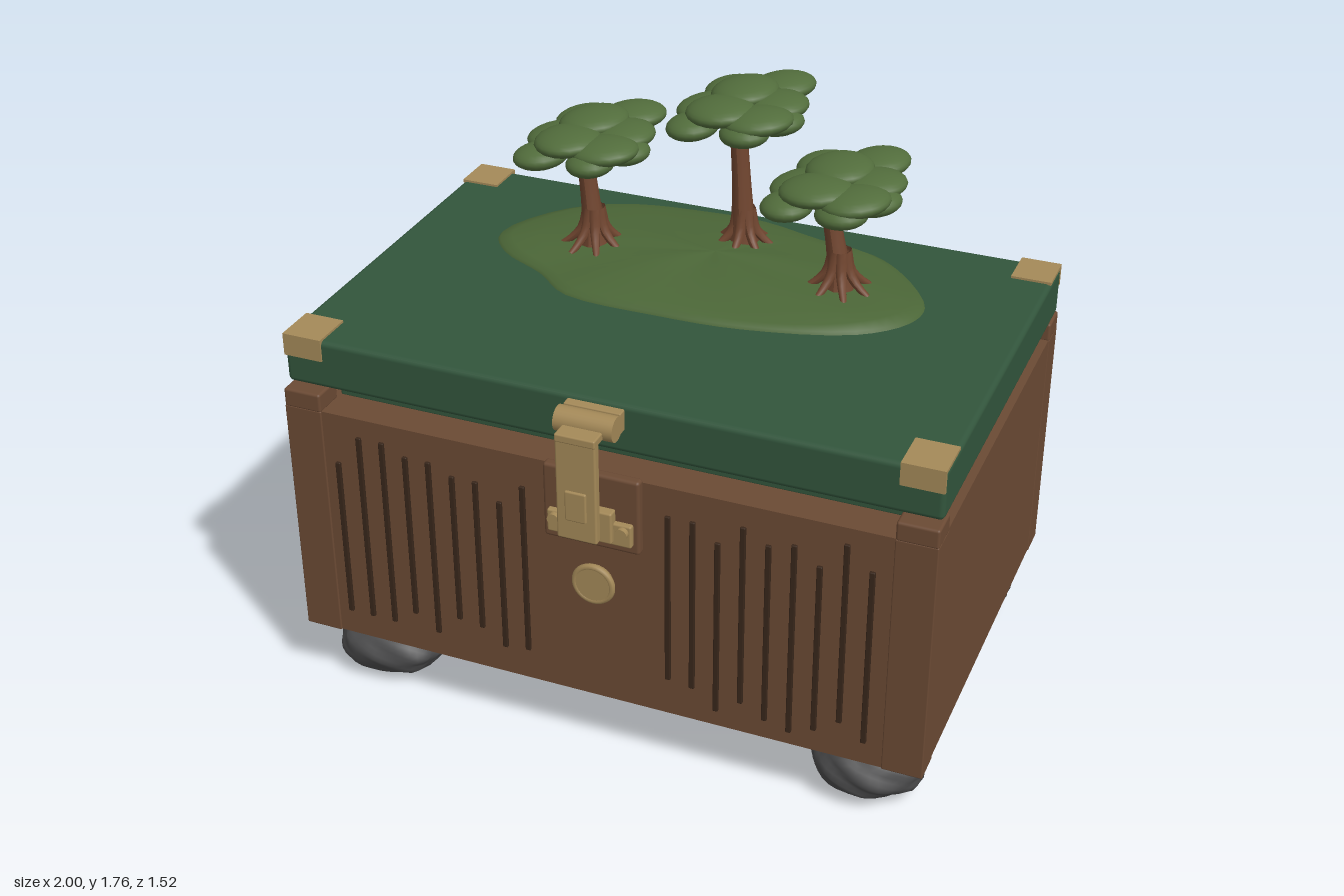
import * as THREE from 'three';
import { mergeVertices } from 'three/addons/utils/BufferGeometryUtils.js';
import { RoundedBoxGeometry } from 'three/addons/geometries/RoundedBoxGeometry.js';

const mat = (name, color, side = THREE.FrontSide) => {
  const m = new THREE.MeshStandardMaterial({ color, side });
  m.name = name;
  return m;
};

export function createModel() {
  const wood = mat('chest wood', 0x6b4a34);
  const groove = mat('dark groove', 0x38261a);
  const green = mat('lid green', 0x32553c);
  const brass = mat('brass', 0xa48958);
  const stone = mat('stone', 0x4b4b4c);
  const grass = mat('moss', 0x4b6637);
  const leaf = mat('leaf', 0x526d3c);
  const bark = mat('bark', 0x70452f, THREE.DoubleSide);

  const model = new THREE.Group();
  model.name = 'treeChest';
  const add = (name, geo, material, x = 0, y = 0, z = 0, parent = model) => {
    const m = new THREE.Mesh(geo, material);
    m.name = name;
    m.position.set(x, y, z);
    parent.add(m);
    return m;
  };
  // Box given by its limits on each axis, optionally with rounded edges
  const box = (name, material, [x0, x1], [y0, y1], [z0, z1], r = 0) => {
    const s = [x1 - x0, y1 - y0, z1 - z0];
    const geo = r ? new RoundedBoxGeometry(...s, 2, r) : new THREE.BoxGeometry(...s);
    return add(name, geo, material, (x0 + x1) / 2, (y0 + y1) / 2, (z0 + z1) / 2);
  };
  const barrel = (name, x, y, z, r, len, axis = 'x', sides = 24) => {
    const geo = new THREE.CylinderGeometry(r, r, len, sides);
    if (axis === 'x') geo.rotateZ(Math.PI / 2);
    if (axis === 'z') geo.rotateX(Math.PI / 2);
    return add(name, geo, brass, x, y, z);
  };

  // Chest body, corner posts and base
  box('body', wood, [-0.96, 0.997], [0.215, 0.99], [-0.672, 0.628]);
  for (const x of [[-0.963, -0.845], [0.88, 1.0]])
    for (const z of [[-0.677, -0.577], [0.533, 0.633]]) {
      box('cornerPost', wood, x, [0.213, 0.99], z, 0.004);
      box('postCap', wood, x, [0.985, 1.045], z, 0.008);
    }
  box('basePlate', wood, [-0.88, 0.915], [0.185, 0.22], [-0.577, 0.535], 0.012);

  // Vertical slits on front and back: [bottom, top]
  const slits = [[0.3, 0.83], [0.3, 0.93], [0.3, 0.93], [0.35, 0.9], [0.3, 0.9], [0.37, 0.87], [0.36, 0.87],
    [0.31, 0.82], [0.32, 0.89], [0.34, 0.9], [0.33, 0.9], [0.27, 0.85], [0.32, 0.92], [0.28, 0.88],
    [0.26, 0.9], [0.29, 0.85], [0.34, 0.94], [0.29, 0.87]];
  slits.forEach((y, i) => {
    const x = i < 9 ? -0.802 + i * 0.0743 : 0.235 + (i - 9) * 0.0737;
    box('frontSlit', groove, [x - 0.008, x + 0.008], y, [0.625, 0.637], 0.003);
    box('backSlit', groove, [x - 0.008, x + 0.008], y, [-0.681, -0.669], 0.003);
  });

  // Lid with inner lip and brass corners
  box('lidLip', green, [-0.845, 0.88], [0.985, 1.04], [-0.563, 0.517], 0.008);
  box('lid', green, [-0.963, 1.0], [1.055, 1.207], [-0.652, 0.605], 0.016);
  for (const x of [[-0.962, -0.84], [0.876, 0.999]])
    for (const s of [1, -1]) {
      const face = s > 0 ? 0.6 : -0.648;
      const span = (a, b) => (s > 0 ? [face + a, face + b] : [face - b, face - a]);
      box('cornerTop', brass, x, [1.204, 1.214], span(-0.124, 0.008));
      box('cornerFace', brass, x, [1.145, 1.214], span(0, 0.01));
    }

  // Front latch
  const cx = 0.014;
  const wide = (w) => [cx - w, cx + w];
  box('latchBacking', wood, wide(0.146), [0.76, 1.0], [0.62, 0.653], 0.01);
  box('latchMount', brass, wide(0.085), [1.13, 1.195], [0.6, 0.632], 0.004);
  barrel('latchBarrel', cx, 1.165, 0.662, 0.037, 0.175);
  box('latchArm', brass, wide(0.06), [1.143, 1.168], [0.66, 0.75], 0.005);
  box('latchStrap', brass, wide(0.06), [0.835, 1.165], [0.72, 0.748], 0.006);
  box('latchGrip', brass, wide(0.032), [0.9, 0.995], [0.73, 0.755], 0.005);
  box('catchPlate', brass, wide(0.128), [0.79, 0.862], [0.645, 0.67], 0.006);
  box('catchBlock', brass, wide(0.075), [0.8, 0.9], [0.65, 0.684], 0.006);
  for (const s of [-1, 1]) barrel('catchRivet', cx + s * 0.103, 0.84, 0.675, 0.018, 0.02, 'z', 16);
  barrel('keyDisc', cx, 0.625, 0.64, 0.056, 0.028, 'z', 32);
  add('keyRing', new THREE.TorusGeometry(0.057, 0.01, 8, 32), brass, cx, 0.625, 0.646);

  // Rear hinges
  for (const x of [-0.58, 0.612]) {
    const w = [x - 0.078, x + 0.078];
    box('hingeUpperLeaf', brass, w, [1.05, 1.152], [-0.727, -0.645], 0.006);
    barrel('hingeBarrel', x, 1.045, -0.724, 0.039, 0.22);
    box('hingeLowerLeaf', brass, w, [0.825, 1.04], [-0.7, -0.675], 0.005);
  }

  // Ring pull on the right side
  barrel('pullMount', -0.972, 0.72, -0.03, 0.045, 0.026);
  const pull = add('pullRing', new THREE.TorusGeometry(0.062, 0.009, 8, 32), brass, -0.99, 0.645, -0.03);
  pull.rotation.y = Math.PI / 2;

  // Stone feet: lumpy flattened spheres
  const stoneGeo = (seed) => {
    let g = new THREE.IcosahedronGeometry(1, 7);
    g.deleteAttribute('normal');
    g.deleteAttribute('uv');
    g = mergeVertices(g, 1e-4);
    const p = g.attributes.position, v = new THREE.Vector3();
    for (let i = 0; i < p.count; i++) {
      v.fromBufferAttribute(p, i);
      const n = Math.sin(v.x * 4 + seed) * Math.cos(v.z * 5 - seed) * 0.05
        + Math.sin(v.y * 9 + v.x * 7 + seed * 2) * 0.025 + Math.sin(v.z * 13 + v.y * 11 + v.x * 8) * 0.015;
      const k = 0.96 + n;
      p.setXYZ(i, v.x * k * 0.18, Math.max(v.y * k * 0.107, -0.104), v.z * k * 0.152);
    }
    g.computeVertexNormals();
    return g;
  };
  [[-0.757, 0.46], [0.797, 0.46], [-0.757, -0.505], [0.797, -0.505]].forEach(([x, z], i) =>
    add('stoneFoot', stoneGeo(1 + i * 1.7), stone, x, 0.104, z));

  // Mossy mound: outline shrunk ring by ring while rising
  const outline = new THREE.CatmullRomCurve3([[-0.68, -0.22], [-0.56, -0.45], [-0.37, -0.56], [-0.13, -0.595],
    [0.08, -0.595], [0.3, -0.53], [0.46, -0.5], [0.59, -0.4], [0.695, -0.24], [0.68, -0.13], [0.56, -0.01],
    [0.24, 0.085], [-0.02, 0.1], [-0.32, 0.08], [-0.45, -0.02], [-0.61, -0.11]]
    .map(([x, z]) => new THREE.Vector3(x, 0, z)), true).getPoints(64).slice(0, 64);
  const rings = [[1, 1.203], [0.985, 1.216], [0.93, 1.227], [0.8, 1.238], [0.55, 1.252], [0.25, 1.262], [0, 1.265]];
  const pos = [], idx = [];
  rings.forEach(([s, y], r) => outline.forEach((p, i) => {
    const bump = r > 1 && s > 0 ? 0.005 * Math.sin(p.x * 9 + r) * Math.cos(p.z * 8) : 0;
    pos.push(0.03 + (p.x - 0.03) * s, y + bump, -0.25 + (p.z + 0.25) * s);
    if (r === 0) return;
    const j = (i + 1) % 64, a = (r - 1) * 64, b = r * 64;
    idx.push(a + i, b + i, a + j, b + i, b + j, a + j);
  }));
  const mound = new THREE.BufferGeometry();
  mound.setAttribute('position', new THREE.Float32BufferAttribute(pos, 3));
  mound.setIndex(idx);
  mound.computeVertexNormals();
  add('mossMound', mound, grass);

  // Tapered tube along a few points
  const taper = (pts, radius, seg = 10) => {
    const curve = new THREE.CatmullRomCurve3(pts.map((p) => new THREE.Vector3(...p)));
    const sides = 10, g = new THREE.TubeGeometry(curve, seg, 1, sides);
    const p = g.attributes.position, v = new THREE.Vector3();
    for (let i = 0; i < p.count; i++) {
      const t = Math.floor(i / (sides + 1)) / seg, c = curve.getPointAt(t);
      v.fromBufferAttribute(p, i).sub(c).multiplyScalar(radius(t)).add(c);
      p.setXYZ(i, v.x, v.y, v.z);
    }
    g.computeVertexNormals();
    return g;
  };

  // Leaf clumps: x, height, z, radius, relative to the canopy centre
  const clumps = [[0.08, 0.015, -0.14, 0.1], [-0.07, 0.0, -0.12, 0.1], [0.1, 0.005, -0.01, 0.105],
    [-0.09, -0.01, 0.0, 0.115], [0.0, 0.035, -0.03, 0.11], [-0.03, 0.02, 0.1, 0.11], [0.09, 0.0, 0.11, 0.105],
    [-0.11, -0.02, 0.13, 0.085], [0.06, -0.025, 0.15, 0.08], [0.13, -0.02, 0.06, 0.08], [0.0, -0.02, -0.13, 0.09]];
  const tree = (x, z, top, lean, turn, canopyX, canopyZ) => {
    const t = new THREE.Group();
    t.name = 'tree';
    t.position.set(x, 1.24, z);
    model.add(t);
    const h = top - 1.24;
    add('trunk', taper([[0, 0, 0], [-0.004, h * 0.3, 0.003], [lean * 0.6, h * 0.7, 0], [lean, h, 0]],
      (s) => 0.03 + 0.02 * (1 - s) ** 4 - 0.004 * s), bark, 0, 0, 0, t);
    for (let i = 0; i < 7; i++) {
      const a = turn + (i / 7) * Math.PI * 2, c = Math.cos(a), s = Math.sin(a);
      add('root', taper([[c * 0.015, 0.12, s * 0.015], [c * 0.035, 0.055, s * 0.035],
        [c * 0.065, 0.02, s * 0.065], [c * 0.098, -0.004, s * 0.098]], (k) => 0.021 - 0.012 * k, 6), bark, 0, 0, 0, t);
      add('branch', taper([[lean, h - 0.06, 0], [lean + c * 0.03, h - 0.015, s * 0.03],
        [lean + c * 0.1, h + 0.03, s * 0.1]], (k) => 0.016 - 0.009 * k, 6), bark, 0, 0, 0, t);
    }
    const canopy = new THREE.Group();
    canopy.name = 'canopy';
    canopy.position.set(canopyX - x, h + 0.055, canopyZ - z);
    canopy.rotation.z = 0.1;
    t.add(canopy);
    clumps.forEach(([bx, by, bz, r], i) => {
      const m = add('leafClump', new THREE.SphereGeometry(1, 20, 14), leaf, bx, by, bz, canopy);
      m.scale.set(r, 0.037, r * 0.92);
      m.rotation.y = turn + i;
    });
  };
  tree(-0.35, -0.21, 1.54, -0.03, 0.2, -0.355, -0.215);
  tree(0.075, -0.375, 1.635, -0.025, 0.7, 0.062, -0.38);
  tree(0.435, -0.21, 1.51, -0.04, 1.1, 0.415, -0.22);

  return model;
}
